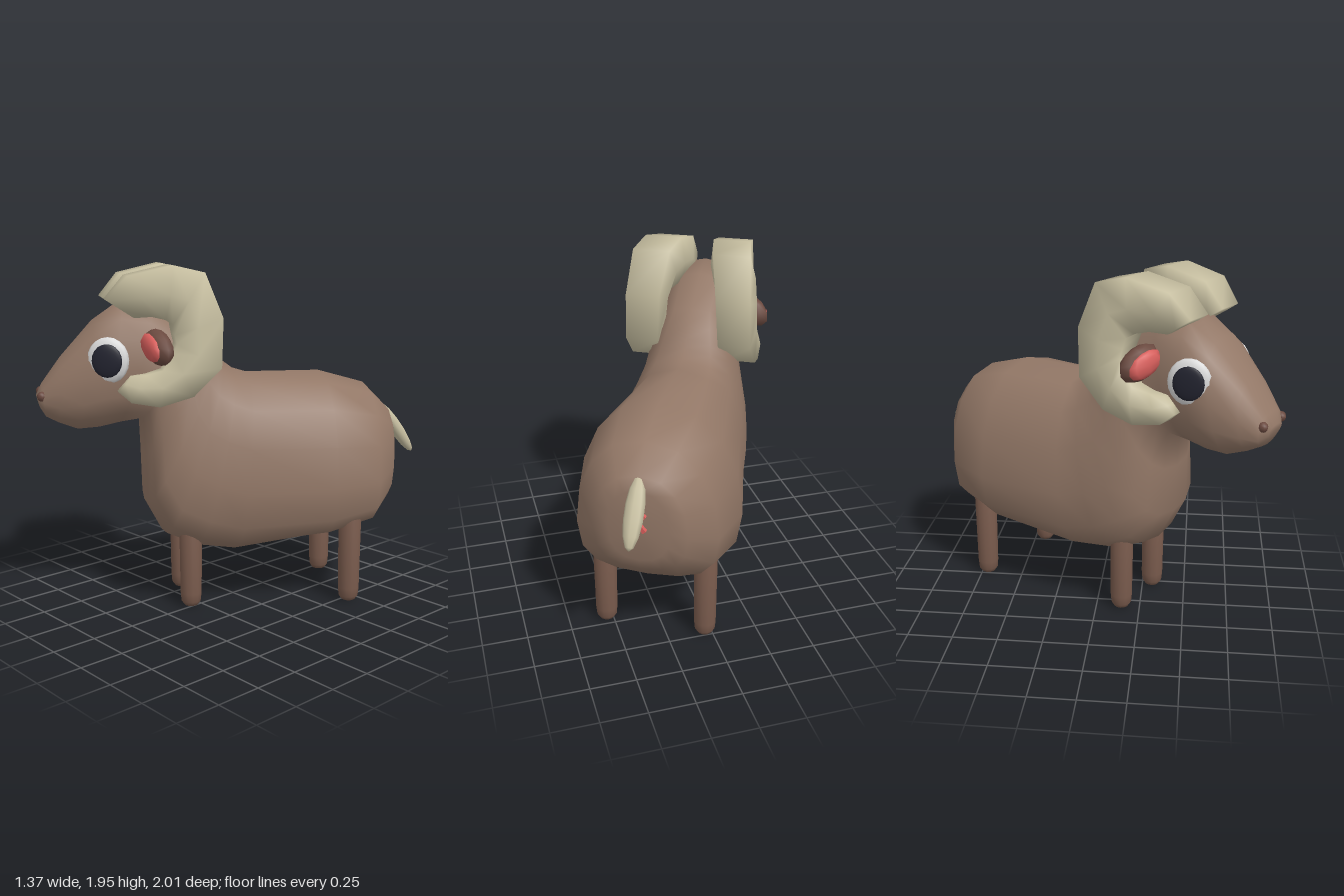
import * as THREE from 'three';

const mat = (name, color) => Object.assign(new THREE.MeshStandardMaterial({ color }), { name });
const wool = mat('wool brown', 0x937867);
const legBrown = mat('leg brown', 0x785a4c);
const darkBrown = mat('dark brown', 0x6b4a40);
const horn = mat('horn cream', 0xc6bea0);
const white = mat('eye white', 0xdadada);
const black = mat('pupil black', 0x22232f);
const pink = mat('pink', 0xd85f5c);

// Smooth skin over a list of rings, closed with a fan at both ends
function loft(rings) {
  const n = rings[0].length, pos = [], idx = [];
  rings.forEach(r => r.forEach(p => pos.push(p.x, p.y, p.z)));
  for (let i = 0; i < rings.length - 1; i++) {
    for (let j = 0; j < n; j++) {
      const k = (j + 1) % n, a = i * n, d = a + n;
      idx.push(a + j, a + k, d + k, a + j, d + k, d + j);
    }
  }
  [0, rings.length - 1].forEach((r, end) => {
    const c = rings[r].reduce((s, p) => s.add(p), new THREE.Vector3()).divideScalar(n);
    const ci = pos.length / 3;
    pos.push(c.x, c.y, c.z);
    for (let j = 0; j < n; j++) {
      const k = (j + 1) % n;
      if (end) idx.push(ci, r * n + j, r * n + k);
      else idx.push(ci, r * n + k, r * n + j);
    }
  });
  const g = new THREE.BufferGeometry();
  g.setAttribute('position', new THREE.Float32BufferAttribute(pos, 3));
  g.setIndex(idx);
  g.computeVertexNormals();
  return g;
}

// Rounded ring: [topZ, topY, bottomZ, bottomY, halfWidth, sag]; sag lowers the widest point
function ring([tz, ty, bz, by, w, sag = 0]) {
  const n = 16, soft = v => Math.sign(v) * Math.abs(v) ** 0.85;
  return Array.from({ length: n }, (_, j) => {
    const a = (j / n) * Math.PI * 2, v = soft(Math.sin(a)), s = v - sag * (1 - v * v);
    return new THREE.Vector3(w * soft(Math.cos(a)), (ty + by) / 2 + s * (ty - by) / 2, (tz + bz) / 2 + s * (tz - bz) / 2);
  });
}

function add(parent, name, geometry, material, x = 0, y = 0, z = 0) {
  const m = new THREE.Mesh(geometry, material);
  m.name = name;
  m.position.set(x, y, z);
  parent.add(m);
  return m;
}

// Curled horn: centre path as [x, y, z, radial half size, lateral half size]
function hornGeometry(side) {
  const path = [
    [0.16, 1.72, 0.66, 0.09, 0.10], [0.18, 1.79, 0.56, 0.13, 0.12], [0.20, 1.81, 0.40, 0.15, 0.125],
    [0.23, 1.78, 0.30, 0.165, 0.125], [0.26, 1.63, 0.25, 0.14, 0.115], [0.27, 1.47, 0.25, 0.14, 0.11],
    [0.28, 1.37, 0.34, 0.13, 0.105], [0.28, 1.30, 0.46, 0.10, 0.095], [0.265, 1.30, 0.58, 0.085, 0.08],
    [0.255, 1.325, 0.65, 0.055, 0.055],
  ];
  const section = [[0.95, -0.85], [0.95, 0.85], [-0.1, 1], [-1, 0.6], [-1, -0.6], [-0.1, -1]];
  return loft(path.map(([x, y, z, r, l]) => {
    const out = new THREE.Vector2(y - 1.57, z - 0.43).normalize();
    const pts = section.map(([a, b]) => new THREE.Vector3(side * (x + b * l), y + a * r * out.x, z + a * r * out.y));
    return side < 0 ? pts.reverse() : pts;
  }));
}

export function createModel() {
  const model = new THREE.Group();
  model.name = 'ram';
  const ram = new THREE.Group();
  ram.name = 'turnedRam';
  ram.rotation.y = -0.515;
  ram.position.set(-0.03, 0, -0.017);
  model.add(ram);

  // One skin from rump to snout; rings tilt up through the chest into the neck
  add(ram, 'bodyNeckAndHead', loft([
    [-0.96, 1.05, -0.95, 0.64, 0.16, 0.1], [-0.93, 1.12, -0.91, 0.56, 0.25, 0.2], [-0.80, 1.25, -0.78, 0.44, 0.385, 0.3],
    [-0.52, 1.33, -0.50, 0.38, 0.455, 0.3], [-0.08, 1.335, 0.02, 0.31, 0.375, 0.25], [0.00, 1.36, 0.24, 0.34, 0.36, 0.2],
    [0.06, 1.405, 0.42, 0.42, 0.34, 0.2], [0.10, 1.45, 0.52, 0.61, 0.315, 0.2], [0.16, 1.51, 0.53, 0.88, 0.275, 0.1],
    [0.25, 1.575, 0.54, 1.09, 0.24], [0.46, 1.72, 0.66, 1.07, 0.25], [0.63, 1.76, 0.78, 1.045, 0.265],
    [0.79, 1.65, 0.89, 1.04, 0.24], [0.97, 1.45, 0.99, 1.08, 0.18], [1.08, 1.30, 1.06, 1.12, 0.13],
    [1.11, 1.24, 1.09, 1.17, 0.07],
  ].map(r => ring(r))), wool);

  // Legs with rounded feet
  const legProfile = [[0, 0], [0.04, 0.005], [0.057, 0.03], [0.062, 0.08], [0.066, 0.5], [0, 0.51]]
    .map(p => new THREE.Vector2(...p));
  const legGeo = new THREE.LatheGeometry(legProfile, 12);

  for (const s of [1, -1]) {
    const side = s > 0 ? 'left' : 'right';
    add(ram, side + 'FrontLeg', legGeo, legBrown, s * 0.165, 0, 0.278);
    add(ram, side + 'BackLeg', legGeo, legBrown, s * 0.285, 0, -0.64);
    add(ram, side + 'Horn', hornGeometry(s), horn);
    add(ram, side + 'Nostril', new THREE.SphereGeometry(0.028, 8, 6), darkBrown, s * 0.103, 1.245, 1.08);

    // Eye: flattened ball with a dark pupil
    const eye = new THREE.Group();
    eye.name = side + 'Eye';
    eye.position.set(s * 0.238, 1.45, 0.73);
    eye.rotation.y = s * 1.25;
    ram.add(eye);
    add(eye, 'eyeWhite', new THREE.SphereGeometry(0.125, 14, 10), white).scale.set(0.92, 1, 0.32);
    add(eye, 'pupil', new THREE.SphereGeometry(0.09, 14, 10), black, 0, 0, 0.028).scale.set(0.92, 1, 0.2);

    // Thick leaf-shaped ear, pink in front
    const ear = new THREE.Group();
    ear.name = side + 'Ear';
    ear.position.set(s * 0.3, 1.52, 0.49);
    ear.rotation.set(0, s * 0.3, s * -0.4);
    ram.add(ear);
    add(ear, 'earShell', new THREE.SphereGeometry(1, 8, 6), darkBrown, 0, 0, -0.025).scale.set(0.135, 0.088, 0.07);
    add(ear, 'innerEar', new THREE.SphereGeometry(1, 8, 6), pink, 0, 0, 0.02).scale.set(0.112, 0.066, 0.035);

    // Crossed mark beneath the tail
    const bar = add(ram, side + 'MarkBar', new THREE.BoxGeometry(0.022, 0.125, 0.022), pink, 0, 0.88, -0.975);
    bar.rotation.z = s * 0.7;
  }

  // Short flat tail
  const tail = add(ram, 'tail', new THREE.SphereGeometry(1, 8, 7), horn, 0, 0.965, -1.02);
  tail.scale.set(0.052, 0.19, 0.04);
  tail.rotation.x = 0.62;

  return model;
}
